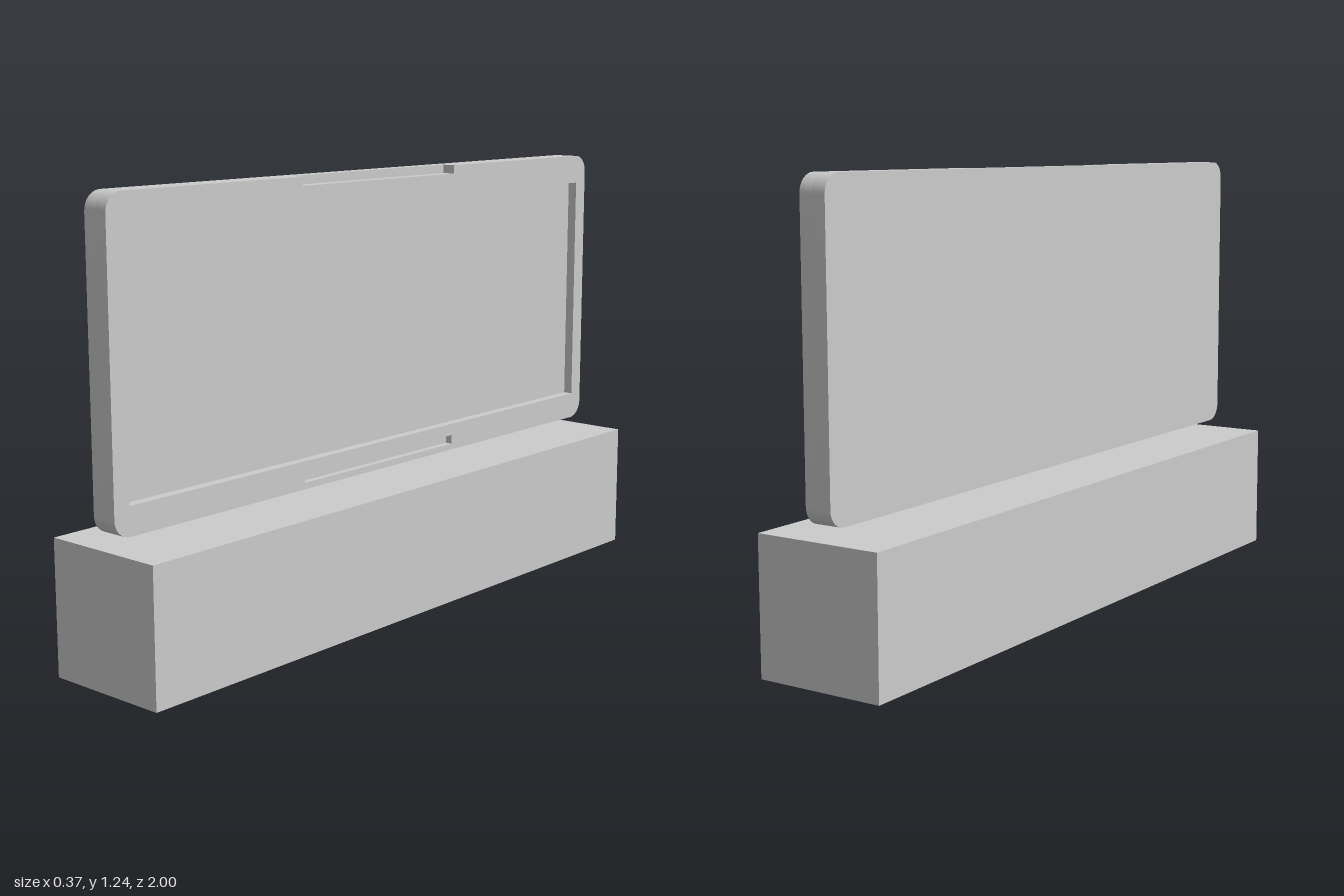
import * as THREE from 'three';
import { toCreasedNormals } from 'three/addons/utils/BufferGeometryUtils.js';

const material = new THREE.MeshStandardMaterial({ color: 0xcccccc });
const V = (x, y) => new THREE.Vector2(x, y);

// Panel sizes; its outline is drawn in local x/y, local z is the thickness
const HALF = 0.99, BOTTOM = 0.398, TOP = 1.24, RADIUS = 0.05, FACE = 0.038;
const GRIP = 0.318, NOTCH_Y = 1.216;

// Counter-clockwise rounded outline, optionally with the grip notch in its top edge
function panelOutline(notched) {
  const points = [];
  [[1, -1], [1, 1], [-1, 1], [-1, -1]].forEach(([sx, sy], corner) => {
    const cx = sx * (HALF - RADIUS);
    const cy = sy > 0 ? TOP - RADIUS : BOTTOM + RADIUS;
    for (let i = 0; i <= 8; i++) {
      const a = (corner - 1 + i / 8) * Math.PI / 2;
      points.push(V(cx + RADIUS * Math.cos(a), cy + RADIUS * Math.sin(a)));
    }
    if (notched && corner === 1) {
      points.push(V(GRIP, TOP), V(GRIP, NOTCH_Y), V(-GRIP, NOTCH_Y), V(-GRIP, TOP));
    }
  });
  return points;
}

const rectangle = (w, y0, y1) => [V(-w, y0), V(w, y0), V(w, y1), V(-w, y1)];

// Strip of wall following a closed outline from z0 to z1
function wall(points, z0, z1) {
  const positions = [];
  points.forEach((p, i) => {
    const q = points[(i + 1) % points.length];
    positions.push(p.x, p.y, z0, q.x, q.y, z0, q.x, q.y, z1);
    positions.push(p.x, p.y, z0, q.x, q.y, z1, p.x, p.y, z1);
  });
  const geometry = new THREE.BufferGeometry();
  geometry.setAttribute('position', new THREE.Float32BufferAttribute(positions, 3));
  geometry.computeVertexNormals();
  return toCreasedNormals(geometry, Math.PI / 6);
}

// Flat sheet at depth z, with optional holes
function sheet(points, z, holes = []) {
  const shape = new THREE.Shape(points);
  shape.holes = holes.map((h) => new THREE.Path(h));
  return new THREE.ShapeGeometry(shape).translate(0, 0, z);
}

function add(parent, name, geometry) {
  const mesh = new THREE.Mesh(geometry, material);
  mesh.name = name;
  parent.add(mesh);
  return mesh;
}

export function createModel() {
  const model = new THREE.Group();
  model.name = 'panelOnBase';

  // Base block
  add(model, 'base', new THREE.BoxGeometry(0.368, 0.368, 2).translate(0, 0.184, 0));

  // Upright panel, floating just above the base and facing +x
  const panel = new THREE.Group();
  panel.name = 'panel';
  panel.rotation.y = Math.PI / 2;
  model.add(panel);

  const screen = rectangle(0.943, 0.476, 1.156);
  const slot = rectangle(GRIP, 0.416, 0.442);
  const outline = panelOutline(false);
  const notched = panelOutline(true);

  add(panel, 'panelFrontFace', sheet(notched, FACE, [screen, slot]));
  add(panel, 'panelBackFace', sheet(outline, FACE, []).rotateY(Math.PI));
  add(panel, 'panelRearEdge', wall(outline, -FACE, 0));
  add(panel, 'panelFrontEdge', wall(notched, 0, FACE));
  add(panel, 'topNotchFloor', sheet(rectangle(GRIP, NOTCH_Y, TOP), 0));

  // Sunken screen area and lower slot
  for (const [name, points, depth] of [['screen', screen, 0.028], ['lowerSlot', slot, 0.02]]) {
    add(panel, name + 'Floor', sheet(points, FACE - depth));
    add(panel, name + 'Walls', wall([...points].reverse(), FACE - depth, FACE));
  }

  return model;
}
